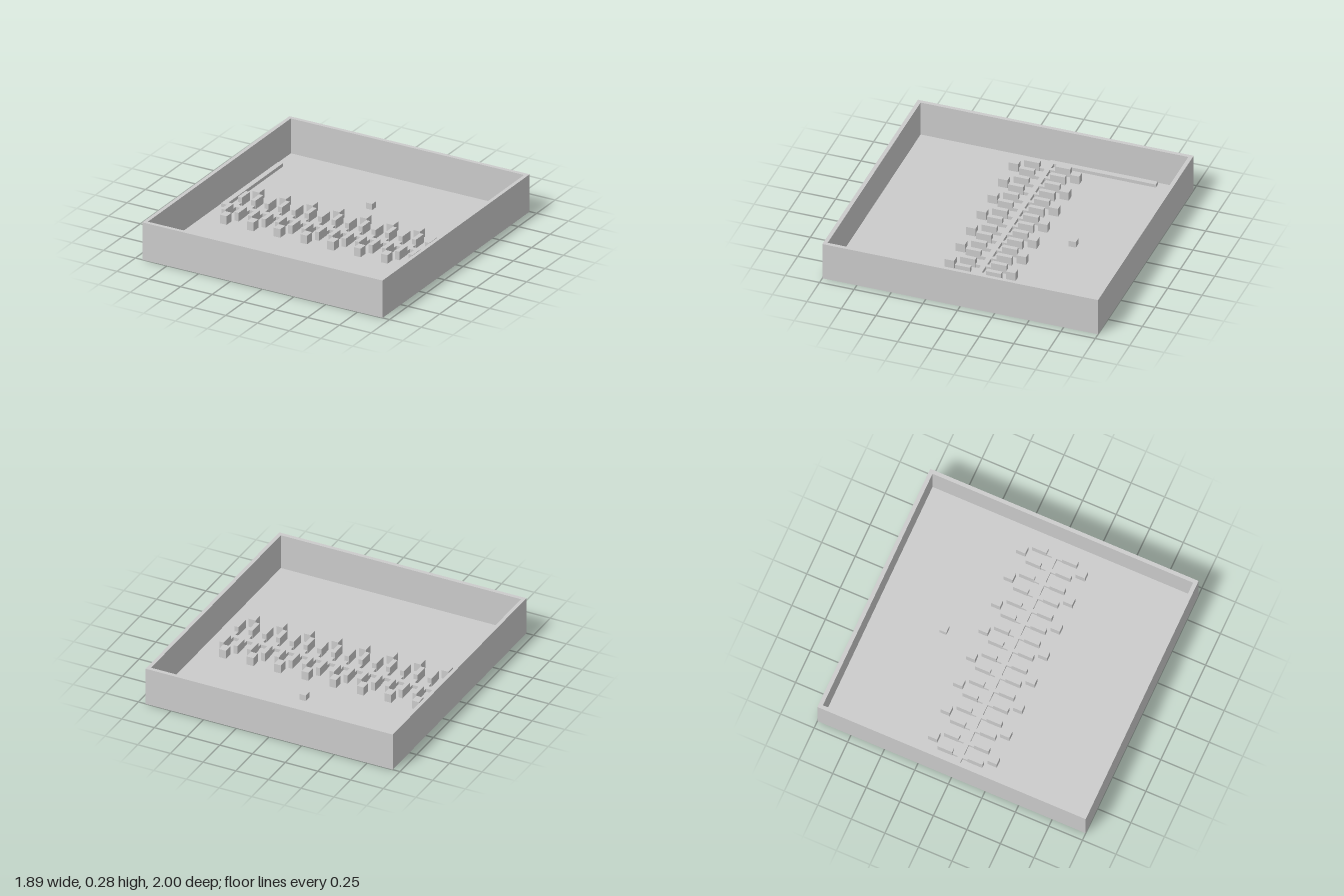
import * as THREE from 'three';

const FLOOR = 0.019;

export function createModel() {
  const model = new THREE.Group();
  const material = new THREE.MeshStandardMaterial({ color: 0xcccccc, flatShading: true });

  const add = (name, geometry) => {
    const mesh = new THREE.Mesh(geometry, material);
    mesh.name = name;
    model.add(mesh);
    return mesh;
  };

  // Box given by its x, y and z ranges
  const block = (name, x0, x1, y0, y1, z0, z1) =>
    add(name, new THREE.BoxGeometry(x1 - x0, y1 - y0, z1 - z0))
      .position.set((x0 + x1) / 2, (y0 + y1) / 2, (z0 + z1) / 2);

  // Open tray: floor slab and four walls
  const [W, D, H, IW, ID] = [0.945, 1, 0.28, 0.918, 0.971];
  block('floor', -W, W, 0, FLOOR, -D, D);
  const corners = (w, d) => [[-w, -d], [w, -d], [w, d], [-w, d]].map(([x, y]) => new THREE.Vector2(x, y));
  const rim = new THREE.Shape(corners(W, D));
  rim.holes.push(new THREE.Path(corners(IW, ID).reverse()));
  add('walls', new THREE.ExtrudeGeometry(rim, { depth: H - FLOOR, bevelEnabled: false })
    .rotateX(-Math.PI / 2)).position.y = FLOOR;

  // L-shaped channel with a short branch to every long block
  const branchX = Array.from({ length: 16 }, (_, i) => -0.79 + i * 0.1053);
  const half = 0.013;
  const outline = [[-0.895, -0.758], [-0.856, -0.758], [-0.856, -0.018]];
  for (const x of branchX) {
    outline.push([x - half, -0.018], [x - half, -0.058], [x + half, -0.058], [x + half, -0.018]);
  }
  outline.push([0.808, -0.018], [0.808, 0.018]);
  for (const x of [...branchX].reverse()) {
    outline.push([x + half, 0.018], [x + half, 0.058], [x - half, 0.058], [x - half, 0.018]);
  }
  outline.push([-0.895, 0.018]);
  const plan = new THREE.Shape(outline.map(([x, z]) => new THREE.Vector2(x, -z)));
  add('channel', new THREE.ExtrudeGeometry(plan, { depth: 0.025, bevelEnabled: false })
    .rotateX(-Math.PI / 2)).position.y = FLOOR;

  // Box pair mirrored to the back and front of the channel
  const blockPair = (name, x, halfWidth, near, far) => {
    block(name + 'Back', x - halfWidth, x + halfWidth, FLOOR, 0.083, -far, -near);
    block(name + 'Front', x - halfWidth, x + halfWidth, FLOOR, 0.083, near, far);
  };

  // Inner rows of long blocks, outer rows of small blocks
  for (const x of branchX) blockPair('longBlock', x, 0.016, 0.058, 0.167);
  for (let i = 0; i < 8; i++) blockPair('smallBlock', -0.738 + i * 0.2108, 0.026, 0.188, 0.256);

  // Lone block towards the back
  block('singleBlock', -0.025, 0.025, FLOOR, 0.064, -0.501, -0.449);

  return model;
}
